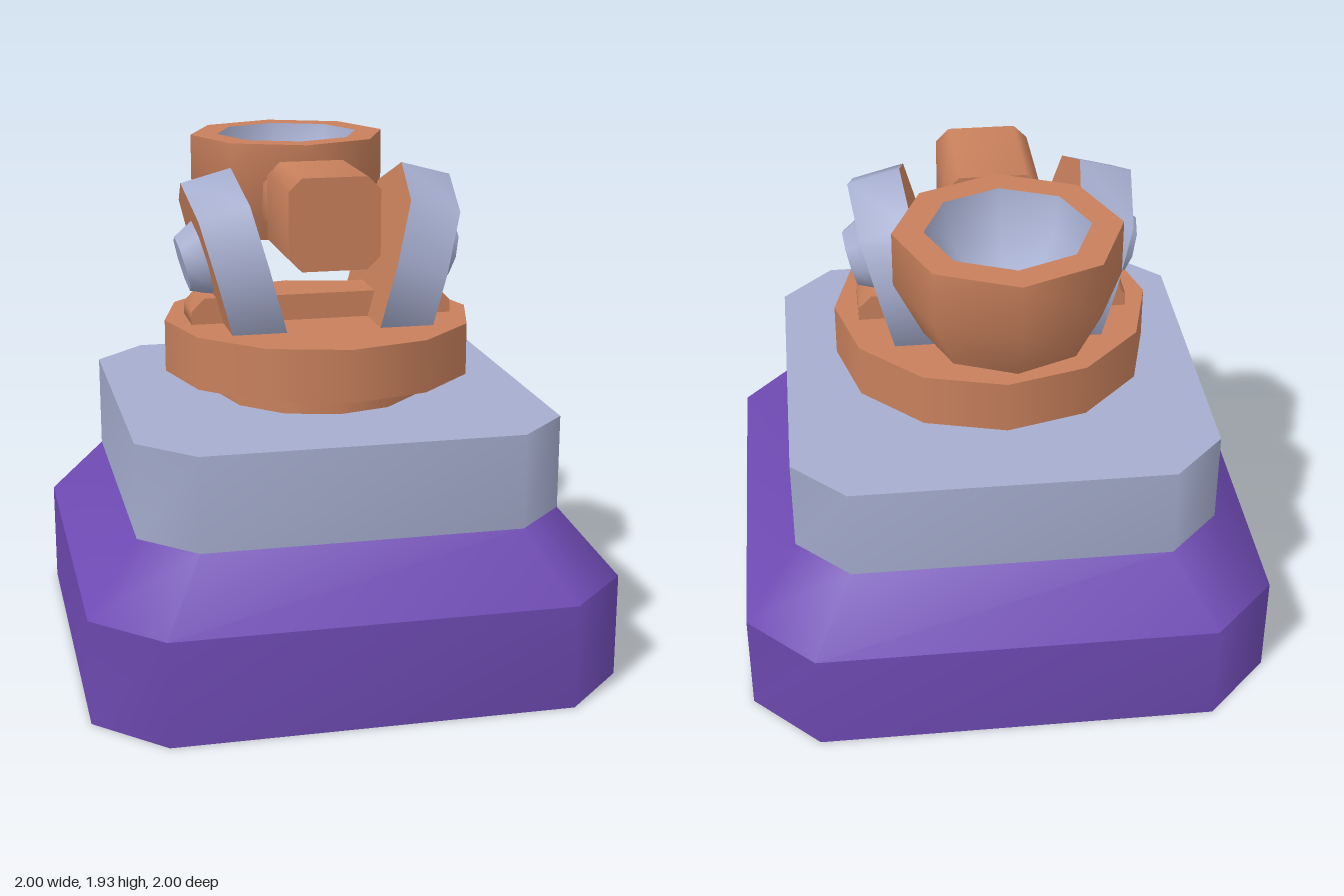
import * as THREE from 'three';

const paint = (name, color) => {
  const m = new THREE.MeshStandardMaterial({ color });
  m.name = name;
  return m;
};

// Skin convex rings [[x, y], ...] stacked along z. Smooth around, crisp between
// bands. Material group 0 is the sides, group 1 the two end caps.
function loft(rings, depths) {
  const pos = [], index = [], n = rings[0].length;
  const addRing = k => {
    const start = pos.length / 3;
    rings[k].forEach(([x, y]) => pos.push(x, y, depths[k]));
    return start;
  };
  for (let k = 0; k < rings.length - 1; k++) {
    const a = addRing(k), b = addRing(k + 1);
    for (let i = 0; i < n; i++) {
      const j = (i + 1) % n;
      index.push(a + i, a + j, b + j, a + i, b + j, b + i);
    }
  }
  const sides = index.length;
  const back = addRing(0), front = addRing(rings.length - 1);
  for (let i = 1; i < n - 1; i++) {
    index.push(back, back + i + 1, back + i, front, front + i, front + i + 1);
  }
  const g = new THREE.BufferGeometry();
  g.setAttribute('position', new THREE.Float32BufferAttribute(pos, 3));
  g.setIndex(index);
  g.addGroup(0, sides, 0);
  g.addGroup(sides, index.length - sides, 1);
  g.computeVertexNormals();
  return g;
}

// Rectangle with cut corners, counter-clockwise
const chamfered = (w, h, c) => [
  [-w + c, -h], [w - c, -h], [w, -h + c], [w, h - c],
  [w - c, h], [-w + c, h], [-w, h - c], [-w, -h + c],
];

export function createModel() {
  const model = new THREE.Group();
  const purple = paint('purple', 0x6f4bb4);
  const grey = paint('blueGrey', 0xa6aecf);
  const copper = paint('copper', 0xc8805c);

  const add = (name, geometry, material, x = 0, y = 0, z = 0, parent = model) => {
    const mesh = new THREE.Mesh(geometry, material);
    mesh.name = name;
    mesh.position.set(x, y, z);
    parent.add(mesh);
    return mesh;
  };
  const up = -Math.PI / 2;

  // Stepped plinth
  const wide = chamfered(1, 1, 0.25), narrow = chamfered(0.8, 0.8, 0.2);
  add('base', loft([wide, wide, narrow], [0, 0.4, 0.64]).rotateX(up), [purple, purple]);
  add('upperBase', loft([narrow, narrow], [0.64, 1]).rotateX(up), [grey, grey]);

  // Turntable
  add('turntableNeck', new THREE.CylinderGeometry(0.4, 0.4, 0.1, 12), copper, 0, 1.05);
  add('turntable', new THREE.CylinderGeometry(0.6, 0.6, 0.2, 12), copper, 0, 1.2);

  // Cross bar between the brackets
  const bar = [[-0.51, 1.28], [0.51, 1.28], [0.51, 1.35], [0.46, 1.4], [-0.46, 1.4], [-0.51, 1.35]];
  add('crossBar', loft([bar, bar], [-0.1, 0.1]), [copper, copper]);

  // Leaning brackets with grey rims and bolts
  const arch = [[-0.3, -0.04], [0.3, -0.04], [0.3, 0.26], [0.25, 0.49], [0, 0.6], [-0.25, 0.49], [-0.3, 0.26]];
  for (const side of [0, 1]) {
    const mount = new THREE.Group();
    mount.name = side ? 'rightBracket' : 'leftBracket';
    mount.rotation.y = side * Math.PI;
    const lean = new THREE.Group();
    lean.name = 'leaningPlate';
    lean.position.set(0.18, 1.3, 0);
    lean.rotation.z = -Math.PI / 12;
    mount.add(lean);
    model.add(mount);
    add('plate', loft([arch, arch], [0, 0.2]).rotateY(Math.PI / 2), [grey, copper], 0, 0, 0, lean);
    add('bolt', new THREE.CylinderGeometry(0.11, 0.15, 0.08, 8).rotateZ(up), grey, 0.24, 0.3, 0, lean);
  }

  // Counterweight and the arm to the bucket
  const block = chamfered(0.175, 0.175, 0.05), link = chamfered(0.165, 0.115, 0.045);
  add('counterweight', loft([block, block], [-0.1, 0.31]), [copper, copper], 0, 1.705);
  add('arm', loft([link, link], [-0.3, -0.1]), [copper, copper], 0, 1.705);

  // Eight-sided bucket with a hollow bowl
  const bucket = new THREE.Group();
  bucket.name = 'bucket';
  bucket.position.set(0, 1.53, -0.575);
  model.add(bucket);
  const turned = points => new THREE.LatheGeometry(points.map(p => new THREE.Vector2(...p)), 8);
  add('bucketWall', turned([[0.3, 0], [0.4, 0.2], [0.4, 0.4]]), copper, 0, 0, 0, bucket);
  add('bucketFloor', new THREE.CircleGeometry(0.3, 8).rotateX(-up), copper, 0, 0, 0, bucket);
  add('bucketRim', new THREE.RingGeometry(0.29, 0.4, 8).rotateX(up), copper, 0, 0.4, 0, bucket);
  add('bowl', turned([[0.29, 0.4], [0.26, 0.27], [0.17, 0.16], [0, 0.12]]), grey, 0, 0, 0, bucket);

  return model;
}
